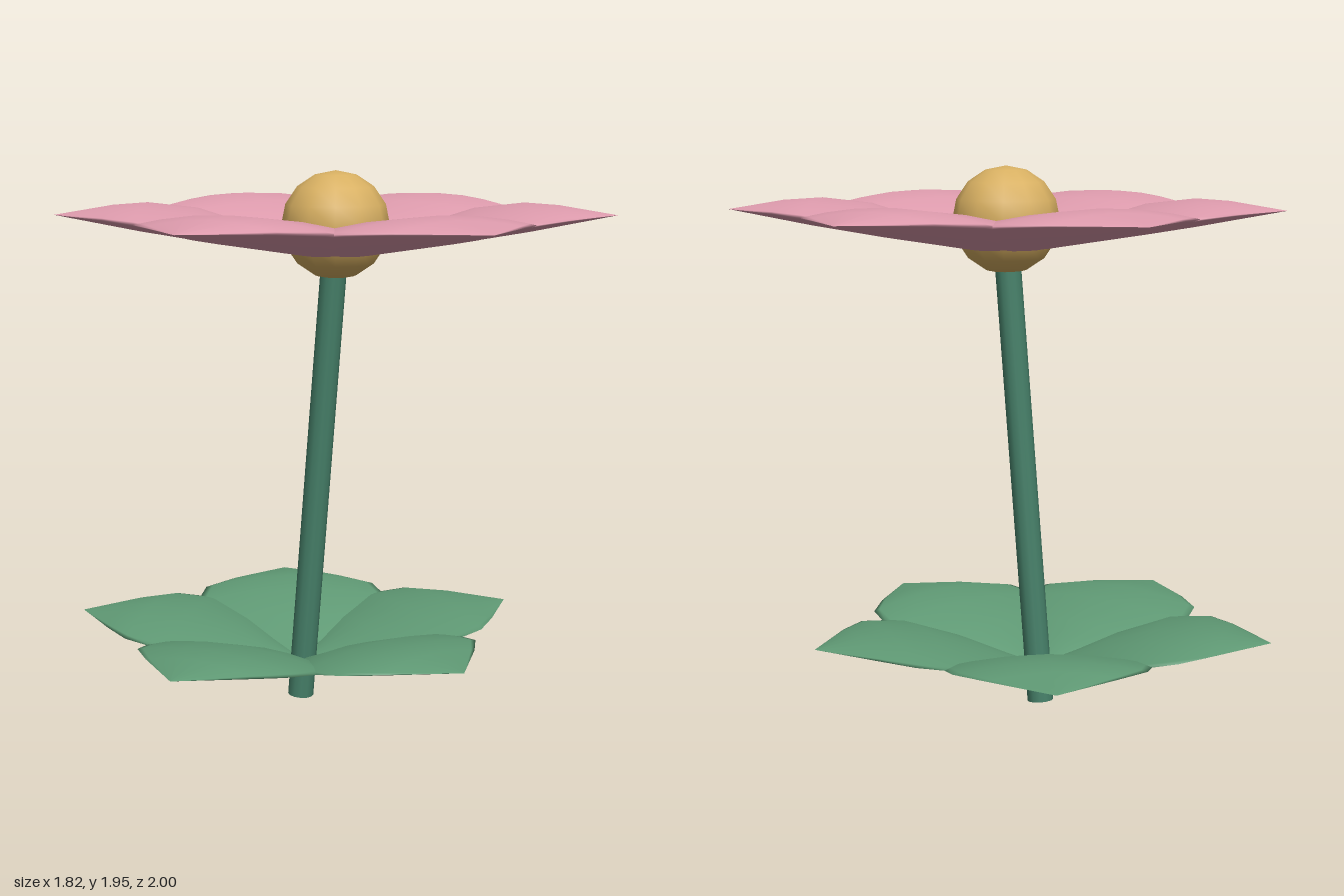
import * as THREE from 'three';

const mat = (color) => new THREE.MeshStandardMaterial({ color });

// Petal cross-sections: distance from centre, half width, underside height, ridge height
const SECTIONS = [
  [0, 0, 0, 0],
  [0.15, 0.13, 0.026, 0.06],
  [0.3, 0.29, 0.05, 0.125],
  [0.5, 0.44, 0.082, 0.185],
  [0.68, 0.39, 0.11, 0.205],
  [0.8, 0.262, 0.13, 0.197],
  [1, 0, 0.163, 0.163],
];

// One closed, cushion-like petal pointing along +z, lofted through lens-shaped loops
function petalGeometry() {
  const n = 16, pos = [], index = [];
  for (const [z, w, low, high] of SECTIONS) {
    for (let j = 0; j < n; j++) {
      const a = (j / n) * Math.PI * 2, s = Math.sin(a);
      pos.push(w * Math.cos(a), (low + high) / 2 + ((high - low) / 2) * s * Math.abs(s), z);
    }
  }
  for (let i = 0; i < SECTIONS.length - 1; i++) {
    for (let j = 0; j < n; j++) {
      const a = i * n + j, b = i * n + ((j + 1) % n);
      index.push(a, b + n, a + n, a, b, b + n);
    }
  }
  const geo = new THREE.BufferGeometry();
  geo.setAttribute('position', new THREE.Float32BufferAttribute(pos, 3));
  geo.setIndex(index);
  geo.computeVertexNormals();
  return geo;
}

// Ring of equally spaced petals around the y axis
function whorl(name, partName, count, geometry, material) {
  const ring = new THREE.Group();
  ring.name = name;
  for (let i = 0; i < count; i++) {
    const mesh = new THREE.Mesh(geometry, material);
    mesh.name = partName;
    mesh.rotation.y = (i / count) * Math.PI * 2;
    ring.add(mesh);
  }
  return ring;
}

export function createModel() {
  const flower = new THREE.Group();
  flower.name = 'flower';
  const petal = petalGeometry();

  // Leaning stem
  const bottom = new THREE.Vector3(-0.104, 0.004, 0);
  const top = new THREE.Vector3(0.048, 1.72, 0);
  const axis = top.clone().sub(bottom);
  const stem = new THREE.Mesh(new THREE.CylinderGeometry(0.047, 0.047, axis.length(), 12), mat(0x468069));
  stem.name = 'stem';
  stem.position.copy(bottom).lerp(top, 0.5);
  stem.quaternion.setFromUnitVectors(new THREE.Vector3(0, 1, 0), axis.normalize());
  flower.add(stem);

  // Five leaves low on the stem
  const leaves = whorl('leaves', 'leaf', 5, petal, mat(0x5f9974));
  leaves.position.set(-0.1, 0.14, 0);
  leaves.scale.setScalar(0.85);
  flower.add(leaves);

  // Six blossom petals
  const petals = whorl('petals', 'petal', 6, petal, mat(0xdf9cae));
  petals.position.set(0.045, 1.63, 0);
  flower.add(petals);

  // Round flower centre
  const centre = new THREE.Mesh(new THREE.SphereGeometry(0.193, 12, 8), mat(0xd8b062));
  centre.name = 'flowerCentre';
  centre.position.set(0.045, 1.758, 0);
  flower.add(centre);

  return flower;
}
